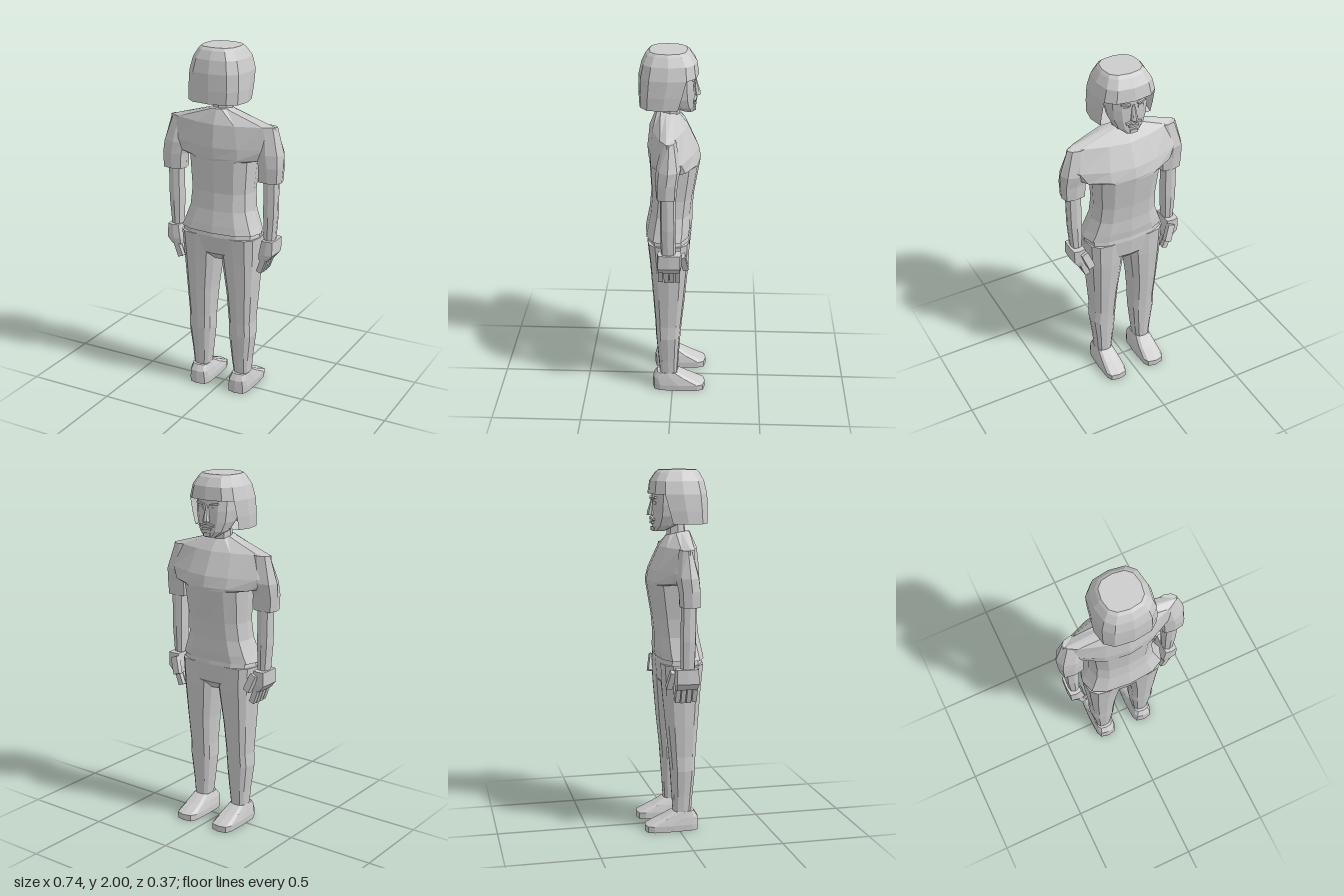
import * as THREE from 'three';

const grey = new THREE.MeshStandardMaterial({ color: 0xcccccc, flatShading: true, side: THREE.DoubleSide });
grey.name = 'light grey';

// Closed ring of points; e < 1 is boxy, 1 is round, above 1 is diamond-like
function ring([y, x0, x1, z0, z1, e], n) {
  return Array.from({ length: n }, (_, i) => {
    const a = (i / n) * Math.PI * 2;
    const p = (v) => (Math.abs(v) < 1e-6 ? 0 : Math.sign(v) * Math.abs(v) ** e);
    return [(x0 + x1) / 2 + p(Math.sin(a)) * (x1 - x0) / 2, y, (z0 + z1) / 2 + p(Math.cos(a)) * (z1 - z0) / 2];
  });
}

// Skin the rings from bottom to top; open(level, i) leaves gaps in the wall
function loft(rows, n = 12, open = () => false) {
  const rings = rows.map((r) => ring(r, n));
  const pos = [];
  const tri = (...pts) => pts.forEach((p) => pos.push(...p));
  for (let k = 0; k < rings.length - 1; k++) {
    for (let i = 0; i < n; i++) {
      if (open(k, i)) continue;
      const j = (i + 1) % n, lo = rings[k], hi = rings[k + 1];
      tri(lo[i], lo[j], hi[j]);
      tri(lo[i], hi[j], hi[i]);
    }
  }
  const top = rings[rings.length - 1];
  const base = rings[0].filter((_, i) => !(open(0, i) && open(0, (i + n - 1) % n)));
  for (let i = 1; i < n - 1; i++) tri(top[0], top[i], top[i + 1]);
  for (let i = 1; i < base.length - 1; i++) tri(base[0], base[i + 1], base[i]);
  const g = new THREE.BufferGeometry();
  g.setAttribute('position', new THREE.Float32BufferAttribute(pos, 3));
  g.computeVertexNormals();
  return g;
}

export function createModel() {
  const model = new THREE.Group();
  const add = (name, geo, pos = [0, 0, 0], rot = [0, 0, 0]) => {
    const m = new THREE.Mesh(geo, grey);
    m.name = name;
    m.position.set(...pos);
    m.rotation.set(...rot);
    model.add(m);
    return m;
  };
  // Centred rows: y, half width, front z, back z, shape
  const body = (name, rows, n, open) =>
    add(name, loft(rows.map(([y, w, ...r]) => [y, -w, w, ...r]), n, open));

  body('shirt', [
    [0.975, 0.24, -0.10, 0.155, 0.75],
    [1.02, 0.22, -0.105, 0.148, 0.75],
    [1.10, 0.19, -0.105, 0.132, 0.75],
    [1.20, 0.182, -0.115, 0.122, 0.75],
    [1.385, 0.195, -0.147, 0.132, 0.75],
    [1.40, 0.29, -0.15, 0.137, 1.1],
    [1.46, 0.345, -0.138, 0.142, 1.35],
    [1.585, 0.322, -0.08, 0.128, 1.5],
    [1.665, 0.05, -0.02, 0.095, 0.9],
  ]);
  body('pelvis', [
    [0.80, 0.10, -0.05, 0.08, 0.8],
    [0.845, 0.21, -0.09, 0.125, 0.75],
    [0.95, 0.232, -0.10, 0.145, 0.75],
    [0.985, 0.225, -0.095, 0.14, 0.75],
  ]);
  body('neck', [
    [1.60, 0.07, -0.03, 0.08, 0.9],
    [1.66, 0.058, -0.035, 0.07, 0.9],
    [1.76, 0.055, -0.04, 0.065, 0.9],
  ], 8);

  // Head and hair
  body('head', [
    [1.668, 0.04, -0.113, -0.05, 0.8],
    [1.70, 0.082, -0.115, 0.02, 0.85],
    [1.75, 0.104, -0.116, 0.06, 0.85],
    [1.81, 0.112, -0.117, 0.08, 0.8],
    [1.89, 0.112, -0.115, 0.09, 0.8],
  ]);
  body('hair', [
    [1.71, 0.163, -0.08, 0.185, 0.7],
    [1.78, 0.166, -0.105, 0.186, 0.7],
    [1.87, 0.163, -0.135, 0.184, 0.7],
    [1.94, 0.145, -0.125, 0.168, 0.7],
    [1.985, 0.118, -0.095, 0.145, 0.75],
    [2.0, 0.105, -0.075, 0.128, 0.75],
  ], 12, (k, i) => k < 2 && i >= 4 && i < 8);

  // Face
  add('nose', loft([
    [1.755, -0.022, 0.022, -0.145, -0.10, 1.2],
    [1.775, -0.018, 0.018, -0.142, -0.10, 1.2],
    [1.84, -0.009, 0.009, -0.122, -0.10, 1.2],
  ], 8));
  add('mouth', new THREE.BoxGeometry(0.055, 0.012, 0.014), [0, 1.715, -0.116]);
  add('chin', new THREE.BoxGeometry(0.04, 0.02, 0.016), [0, 1.682, -0.112]);

  for (const s of [1, -1]) {
    const side = s > 0 ? 'left' : 'right';
    // Rows given for the left side are mirrored for the right
    const limb = (name, rows, n) => add(side + name, loft(rows.map(([y, a, b, ...r]) =>
      (s > 0 ? [y, a, b, ...r] : [y, -b, -a, ...r])), n));

    add(side + 'Brow', new THREE.BoxGeometry(0.05, 0.01, 0.016), [s * 0.045, 1.848, -0.112], [0, s * -0.2, s * 0.15]);
    add(side + 'Eye', new THREE.BoxGeometry(0.036, 0.016, 0.009), [s * 0.043, 1.822, -0.109], [0, s * -0.2, 0]);
    add(side + 'Moustache', new THREE.BoxGeometry(0.045, 0.012, 0.016), [s * 0.022, 1.738, -0.116], [0, s * -0.15, s * -0.3]);

    limb('Sleeve', [
      [1.285, 0.23, 0.36, -0.028, 0.08, 0.55],
      [1.37, 0.225, 0.367, -0.035, 0.082, 0.65],
      [1.44, 0.20, 0.369, -0.05, 0.08, 0.9],
      [1.585, 0.20, 0.325, -0.025, 0.045, 1.1],
    ], 8);
    limb('Forearm', [
      [0.93, 0.262, 0.32, -0.022, 0.055, 0.7],
      [1.10, 0.255, 0.335, -0.025, 0.06, 0.7],
      [1.32, 0.255, 0.337, -0.022, 0.06, 0.7],
    ], 8);
    // Hand with four fingers and a thumb
    limb('Hand', [
      [0.835, 0.245, 0.305, -0.05, 0.075, 0.3],
      [0.87, 0.245, 0.333, -0.055, 0.08, 0.3],
      [0.95, 0.26, 0.333, -0.055, 0.075, 0.3],
    ], 8);
    for (let f = 0; f < 4; f++) {
      const len = 0.09 - Math.abs(f - 1.5) * 0.008;
      add(side + 'Finger' + (f + 1), new THREE.BoxGeometry(0.032, len, 0.026),
        [s * 0.262, 0.80, -0.033 + f * 0.031], [0, 0, s * -0.35]);
    }
    add(side + 'Thumb', new THREE.BoxGeometry(0.04, 0.10, 0.032), [s * 0.26, 0.885, -0.068], [0.2, 0, s * -0.35]);

    limb('Leg', [
      [0.08, 0.085, 0.175, -0.028, 0.072, 0.75],
      [0.20, 0.07, 0.185, -0.035, 0.082, 0.75],
      [0.35, 0.055, 0.204, -0.045, 0.095, 0.75],
      [0.43, 0.055, 0.20, -0.052, 0.098, 0.75],
      [0.60, 0.042, 0.212, -0.07, 0.11, 0.75],
      [0.80, 0.014, 0.226, -0.088, 0.125, 0.75],
      [0.95, 0.0, 0.235, -0.095, 0.14, 0.75],
    ], 12);
    limb('Shoe', [
      [0.0, 0.06, 0.19, -0.188, 0.115, 0.5],
      [0.035, 0.06, 0.192, -0.188, 0.115, 0.5],
      [0.075, 0.068, 0.185, -0.10, 0.113, 0.5],
      [0.11, 0.08, 0.178, -0.035, 0.09, 0.6],
    ], 12);
  }
  return model;
}
